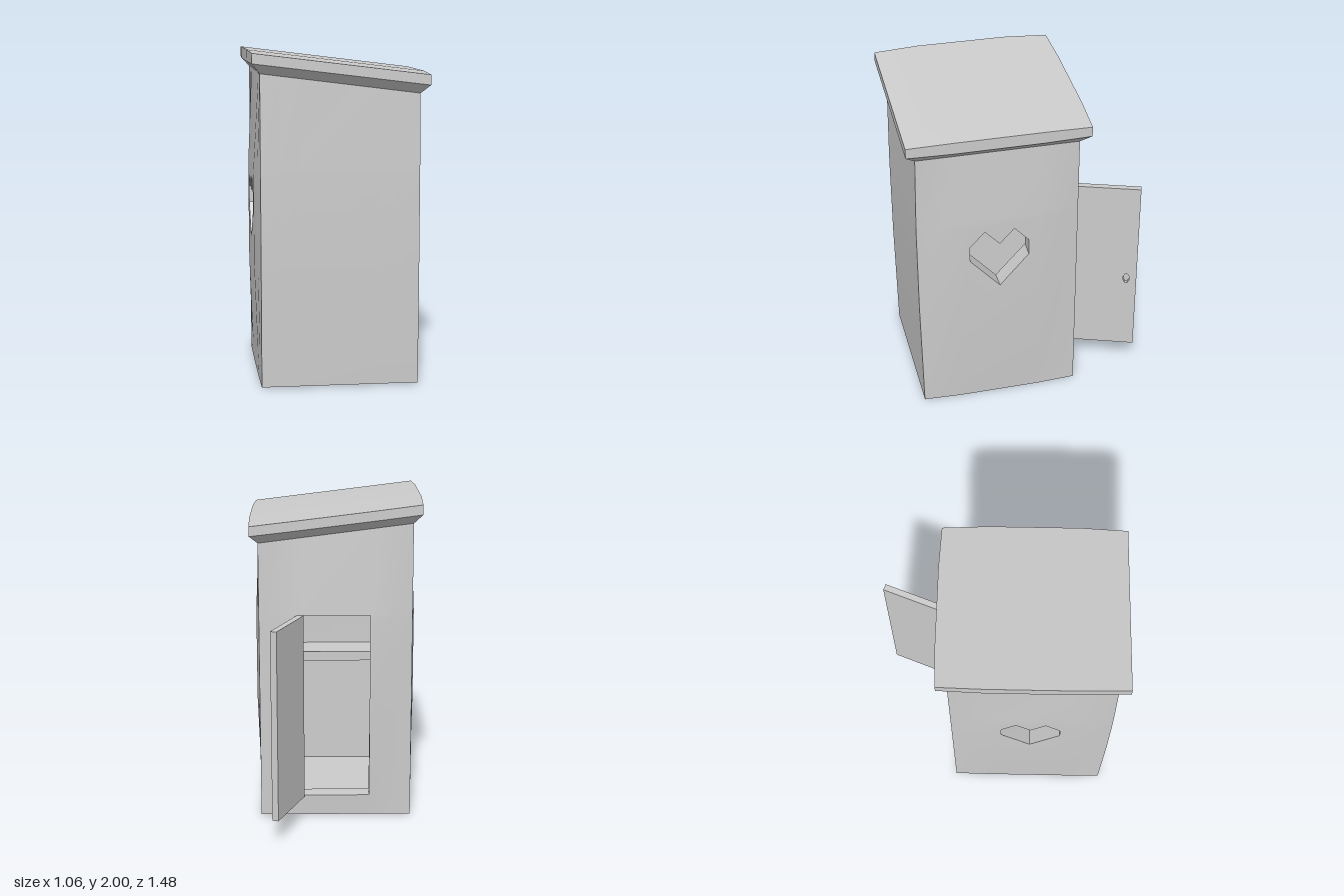
import * as THREE from 'three';
import { mergeGeometries, toCreasedNormals } from 'three/addons/utils/BufferGeometryUtils.js';

const HX = 0.47, HZ = 0.49, CZ = 0.195;      // half width, half depth, depth centre
const WALL = 0.11, FLOOR = 0.09, EAVES = 1.8;
const LINTEL = 1.31, SILL = 0.14;
const ROWS = [0, SILL, 0.72, 1.28, LINTEL, EAVES];

const clamp = THREE.MathUtils.clamp;
const bulge = t => clamp(2 * (1 - Math.abs(t)), 0, 1);
const bulgeY = y => clamp(Math.min(y / 0.72, (EAVES - y) / 0.52), 0, 1);
const wallTop = x => 1.81 - 0.126 * x;

// Moves every vertex of a geometry by a rule
function move(geo, rule) {
  const p = geo.attributes.position, v = new THREE.Vector3();
  for (let i = 0; i < p.count; i++) {
    rule(v.fromBufferAttribute(p, i));
    p.setXYZ(i, v.x, v.y, v.z);
  }
  return geo;
}

// Puffs out the straight cabin and slants its top edge
function puff(v) {
  const { x, y, z } = v, tz = (z - CZ) / HZ, by = bulgeY(y);
  v.x += 0.025 * by * bulge(tz) * x / HX;
  v.z += tz > 0 ? 0.01 * by * tz : 0.03 * by * bulge(x / HX) * tz;
  if (y < 0.001) v.y = 0.01 * (1 - bulge(tz));
  if (y > LINTEL) v.y = LINTEL + (y - LINTEL) / (EAVES - LINTEL) * (wallTop(x) - LINTEL);
}

function bare(geo) {
  geo.deleteAttribute('uv');
  geo.deleteAttribute('normal');
  return geo;
}

const points = list => list.map(([x, y]) => new THREE.Vector2(x, y));

// A wall facing +z: outer skin, inner skin, and the reveal of its opening
function wallGeometry(half, columns, opening, isDoor) {
  const cells = [];
  for (let i = 0; i + 1 < columns.length; i++) {
    for (let j = 0; j + 1 < ROWS.length; j++) {
      const [a, b, c, d] = [columns[i], columns[i + 1], ROWS[j], ROWS[j + 1]];
      const inside = opening && opening.every(([u, v]) => u > a && u < b && v > c && v < d);
      if (isDoor) {
        const us = opening.map(p => p[0]), mid = (a + b) / 2;
        if (mid > Math.min(...us) && mid < Math.max(...us) && c >= SILL && d <= LINTEL) continue;
      }
      const shape = new THREE.Shape(points([[a, c], [b, c], [b, d], [a, d]]));
      if (inside) shape.holes.push(new THREE.Path(points(opening)));
      cells.push(bare(new THREE.ShapeGeometry(shape)).toNonIndexed());
    }
  }
  const outer = mergeGeometries(cells);
  const inner = move(outer.clone(), v => {
    v.set(clamp(v.x, WALL - half, half - WALL), Math.max(v.y, FLOOR), -WALL);
  });
  const n = inner.attributes.position.count;
  inner.setIndex(Array.from({ length: n }, (_, i) => n - 1 - i));
  const parts = [outer, inner.toNonIndexed()];
  if (opening) {
    const reveal = [];
    opening.forEach(([ax, ay], i) => {
      const [bx, by] = opening[(i + 1) % opening.length];
      reveal.push(ax, ay, 0, bx, by, 0, bx, by, -WALL, ax, ay, 0, bx, by, -WALL, ax, ay, -WALL);
    });
    const geo = new THREE.BufferGeometry();
    geo.setAttribute('position', new THREE.Float32BufferAttribute(reveal, 3));
    parts.push(geo);
  }
  return mergeGeometries(parts);
}

export function createModel() {
  const group = new THREE.Group();
  const material = new THREE.MeshStandardMaterial({ color: 0xcccccc });
  const add = (name, geo, parent = group) => {
    const mesh = new THREE.Mesh(geo, material);
    mesh.name = name;
    parent.add(mesh);
    return mesh;
  };
  const addCabin = (name, geo) => add(name, toCreasedNormals(move(geo, puff), 0.5));

  // Walls: plain front, heart windows in both sides, doorway in the back
  const heart = [[0, 0.83], [0.18, 1.03], [0.18, 1.13], [0.09, 1.225],
    [0, 1.13], [-0.09, 1.225], [-0.18, 1.13], [-0.18, 1.03]];
  const doorway = [[-0.22, SILL], [0.21, SILL], [0.21, 0.72], [0.21, 1.28], [0.21, LINTEL],
    [-0.22, LINTEL], [-0.22, 1.28], [-0.22, 0.72]];
  const sideColumns = [-HZ, WALL - HZ, -HZ / 2, HZ / 2, HZ - WALL, HZ];
  const frontColumns = [-HX, WALL - HX, -HX / 2, HX / 2, HX - WALL, HX];
  const backColumns = [-HX, WALL - HX, -HX / 2, -0.22, 0.21, HX / 2, HX - WALL, HX];
  addCabin('frontWall', wallGeometry(HX, frontColumns).translate(0, 0, CZ + HZ));
  addCabin('backWall', wallGeometry(HX, backColumns, doorway, true)
    .rotateY(Math.PI).translate(0, 0, CZ - HZ));
  for (const s of [1, -1]) {
    addCabin(s > 0 ? 'leftWall' : 'rightWall', wallGeometry(HZ, sideColumns, heart)
      .rotateY(s * Math.PI / 2).translate(s * HX, 0, CZ));
  }

  // Underside, floor and bench
  addCabin('underside', new THREE.PlaneGeometry(2 * HX, 2 * HZ, 4, 4)
    .rotateX(Math.PI / 2).translate(0, 0, CZ));
  addCabin('floor', new THREE.PlaneGeometry(2 * (HX - WALL), 2 * (HZ - WALL), 4, 4)
    .rotateX(-Math.PI / 2).translate(0, FLOOR, CZ));
  add('bench', new THREE.BoxGeometry(0.76, 0.06, 0.27).translate(0, 0.88, 0.465));

  // Slanted roof slab with a flared neck below it
  const roof = move(new THREE.BoxGeometry(2, 2, 2, 4, 2, 4), v => {
    const { x: u, y: level, z: w } = v;
    if (level < -0.5) {
      v.set(u * HX, wallTop(u * HX), CZ + w * HZ);
      return;
    }
    const x = u * (0.52 + 0.01 * bulge(w));
    const y = 1.865 - 0.123 * x + (level > 0.5 ? 0.06 + 0.01 * bulge(w) : 0);
    const z = CZ + w * 0.55 - (w < 0 ? 0.01 * bulge(u) * -w : 0);
    v.set(x, y, z);
  });
  add('roof', toCreasedNormals(roof, 0.5));

  // Open door with a shallow hand recess in its outer face
  const door = new THREE.Group();
  door.name = 'door';
  door.position.set(0.215, 0, -0.32);
  door.rotation.y = -0.358;
  group.add(door);
  const L = 0.44;
  const panel = new THREE.Shape(points([[0, SILL], [L, SILL], [L, LINTEL], [0, LINTEL]]));
  const recess = Array.from({ length: 8 }, (_, i) => {
    const a = (i + 0.5) * Math.PI / 4;
    return [0.375 + 0.02 * Math.cos(a), 0.65 + 0.037 * Math.sin(a)];
  });
  panel.holes.push(new THREE.Path(points(recess)));
  add('doorPanel', new THREE.ExtrudeGeometry(panel, { depth: 0.025, bevelEnabled: false })
    .rotateY(Math.PI / 2).translate(-0.005, 0, 0), door);
  add('doorBacking', new THREE.BoxGeometry(0.015, LINTEL - SILL, L)
    .translate(-0.0125, (LINTEL + SILL) / 2, -L / 2), door);

  return group;
}
